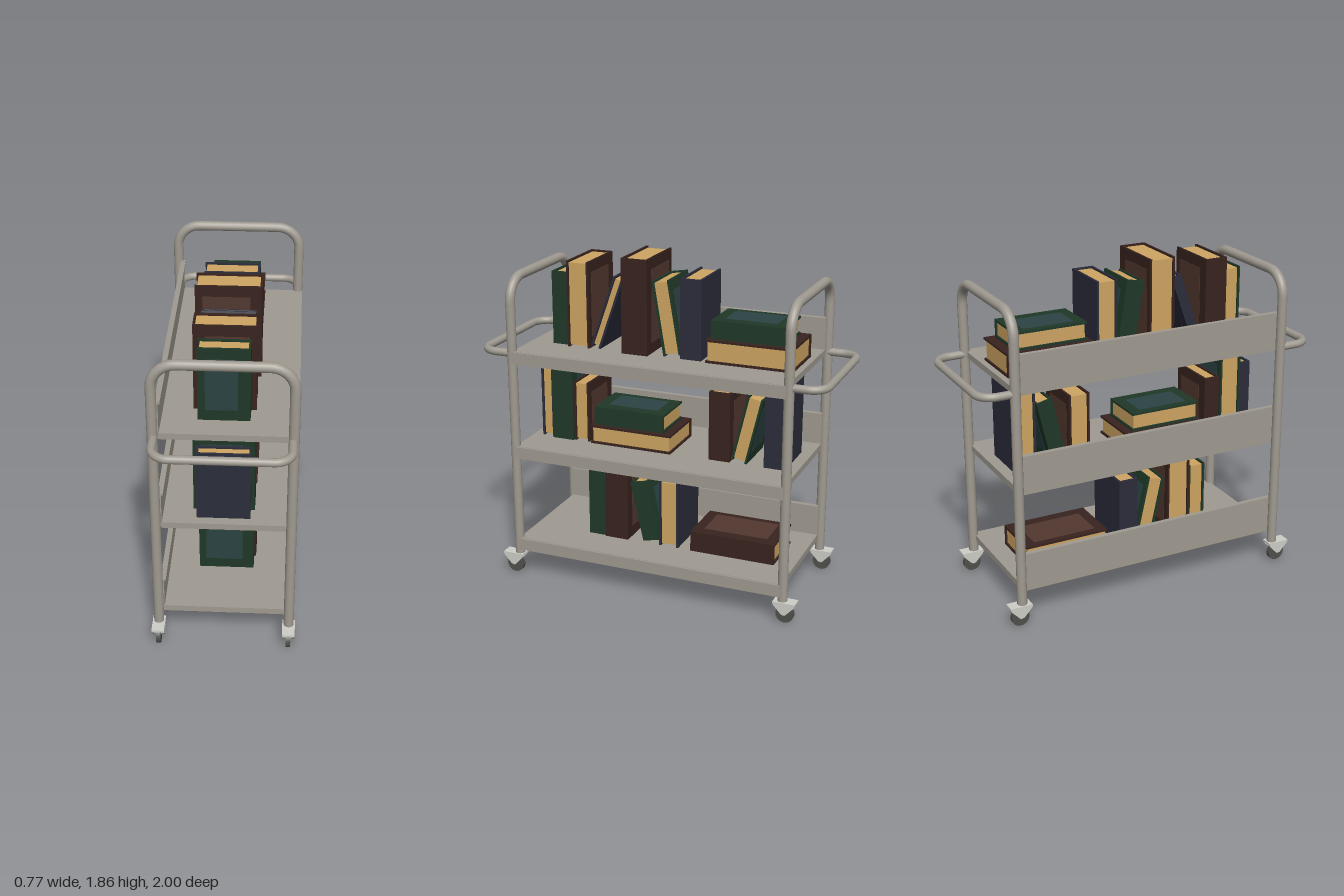
import * as THREE from 'three';

const mat = (color) => new THREE.MeshStandardMaterial({ color });
const METAL = mat(0xa09b91), FORK = mat(0xcfcfc8), WHEEL = mat(0x50504c), PAGES = mat(0xcfa562);
const COVERS = {
  brown: [mat(0x38231e), mat(0x523830)],
  green: [mat(0x1f3828), mat(0x2c4343)],
  navy: [mat(0x2b2d3b), null],
};

function add(parent, name, geometry, material, x = 0, y = 0, z = 0) {
  const mesh = new THREE.Mesh(geometry, material);
  mesh.name = name;
  mesh.position.set(x, y, z);
  parent.add(mesh);
  return mesh;
}
const box = (parent, name, m, w, h, d, x, y, z) =>
  add(parent, name, new THREE.BoxGeometry(w, h, d), m, x, y, z);

// U-shaped pipe: two legs of the given span, rounded corners; u runs across, v along the legs
function bentPipe(half, v0, v1, corner, radius, place) {
  const p = (u, v) => place(u, v);
  const path = new THREE.CurvePath();
  const k = corner * 0.448; // control distance for a circular quarter bend
  path.add(new THREE.LineCurve3(p(-half, v0), p(-half, v1 - corner)));
  path.add(new THREE.CubicBezierCurve3(p(-half, v1 - corner), p(-half, v1 - k), p(-half + k, v1), p(-half + corner, v1)));
  path.add(new THREE.LineCurve3(p(-half + corner, v1), p(half - corner, v1)));
  path.add(new THREE.CubicBezierCurve3(p(half - corner, v1), p(half - k, v1), p(half, v1 - k), p(half, v1 - corner)));
  path.add(new THREE.LineCurve3(p(half, v1 - corner), p(half, v0)));
  return new THREE.TubeGeometry(path, 140, radius, 16);
}

// Caster: top plate, two triangular cheeks, wheel
function caster(x, z) {
  const g = new THREE.Group();
  g.name = 'caster';
  g.position.set(x, 0, z);
  box(g, 'casterPlate', FORK, 0.068, 0.012, 0.125, 0, 0.118, 0);
  box(g, 'casterStem', METAL, 0.05, 0.03, 0.05, 0, 0.105, 0);
  const cheek = new THREE.Shape([
    new THREE.Vector2(-0.062, 0.122), new THREE.Vector2(-0.058, 0.105), new THREE.Vector2(-0.012, 0.055),
    new THREE.Vector2(0.012, 0.055), new THREE.Vector2(0.058, 0.105), new THREE.Vector2(0.062, 0.122),
  ]);
  for (const s of [-1, 1]) {
    const geo = new THREE.ExtrudeGeometry(cheek, { depth: 0.012, bevelEnabled: false });
    geo.translate(0, 0, -0.006).rotateY(Math.PI / 2);
    add(g, 'casterCheek', geo, FORK, s * 0.028, 0, 0);
  }
  const round = (r, w) => new THREE.CylinderGeometry(r, r, w, 28).rotateZ(Math.PI / 2);
  add(g, 'wheel', round(0.05, 0.024), WHEEL, 0, 0.05, 0);
  add(g, 'axle', round(0.01, 0.06), METAL, 0, 0.058, 0);
  return g;
}

// Upright book standing on y = 0, centred on x and z; spine is the side (+1 or -1 in x) of the spine
function book(color, h, w, t, spine) {
  const g = new THREE.Group();
  g.name = 'book';
  const [cover, panel] = COVERS[color];
  const c = 0.012;
  for (const s of [-1, 1]) {
    box(g, 'bookCover', cover, w, h, c, 0, h / 2, s * (t - c) / 2);
    if (panel) box(g, 'coverPanel', panel, w - 0.1, h - 0.12, 0.004, -spine * 0.012, h / 2, s * t / 2);
  }
  box(g, 'bookSpine', cover, c, h, t, spine * (w - c) / 2, h / 2, 0);
  box(g, 'bookPages', PAGES, w - c - 0.01, h - 0.02, t - 2 * c, -spine * (c - 0.01) / 2 , h / 2, 0);
  return g;
}

// Upright books: colour, z from, z to, height, width, spine side
// Leaning books: colour, z of the resting edge, thickness, height, width, spine side, lean in degrees (+ leans to +z)
// Flat books: colour, z from, z to, base above shelf, thickness, width, spine side
const SHELVES = [
  {
    y: 0.22,
    upright: [['green', 0.435, 0.332, 0.395, 0.30, 1], ['brown', 0.33, 0.19, 0.485, 0.32, 1], ['navy', 0, -0.115, 0.39, 0.31, -1]],
    leaning: [['green', 0.105, 0.104, 0.355, 0.27, 1, 12.5]],
    flat: [['brown', -0.19, -0.68, 0, 0.118, 0.31, 1]],
  },
  {
    y: 0.78,
    upright: [['navy', 0.724, 0.65, 0.4, 0.28, -1], ['green', 0.648, 0.52, 0.465, 0.32, 1], ['brown', 0.518, 0.425, 0.345, 0.30, -1],
      ['brown', -0.29, -0.41, 0.39, 0.30, 1], ['navy', -0.605, -0.725, 0.485, 0.30, 1]],
    leaning: [['green', -0.505, 0.09, 0.38, 0.28, -1, -13.2]],
    flat: [['brown', 0.41, -0.07, 0, 0.107, 0.32, -1], ['green', 0.395, -0.02, 0.107, 0.103, 0.27, 1]],
  },
  {
    y: 1.33,
    upright: [['green', 0.643, 0.543, 0.41, 0.265, 1], ['brown', 0.54, 0.41, 0.48, 0.32, -1],
      ['brown', 0.21, 0.06, 0.525, 0.345, 1], ['navy', -0.12, -0.24, 0.44, 0.295, 1]],
    leaning: [['navy', 0.352, 0.058, 0.42, 0.28, -1, -19.5], ['green', -0.02, 0.102, 0.41, 0.27, -1, 9.6]],
    flat: [['brown', -0.27, -0.755, 0, 0.128, 0.32, -1], ['green', -0.29, -0.70, 0.128, 0.1, 0.27, 1]],
  },
];

export function createModel() {
  const cart = new THREE.Group();
  cart.name = 'bookCart';

  // End frames, push handles and casters
  for (const s of [-1, 1]) {
    const z = s * 0.79 - 0.006;
    add(cart, 'endFrame', bentPipe(0.35, 0.11, 1.728, 0.125, 0.027,
      (u, v) => new THREE.Vector3(u, v, z)), METAL);
    add(cart, 'pushHandle', bentPipe(0.345, 0.79, 0.977, 0.09, 0.022,
      (u, v) => new THREE.Vector3(u, 1.314, s * v)), METAL);
    for (const x of [-0.35, 0.35]) cart.add(caster(x, s * 0.812));
  }

  for (const { y, upright, leaning, flat } of SHELVES) {
    // Tray with a hanging lip on one side and a tall guard panel on the other
    const shelf = new THREE.Group();
    shelf.name = 'shelf';
    shelf.position.y = y;
    cart.add(shelf);
    box(shelf, 'shelfBoard', METAL, 0.7, 0.035, 1.565, 0.015, -0.0175, -0.006);
    box(shelf, 'shelfLip', METAL, 0.015, 0.068, 1.565, 0.368, -0.036, -0.006);
    box(shelf, 'guardPanel', METAL, 0.018, 0.215, 1.565, -0.327, 0.0725, -0.006);
    box(shelf, 'guardRim', METAL, 0.026, 0.012, 1.565, -0.321, 0.174, -0.006);

    for (const [color, z0, z1, h, w, spine] of upright) {
      const b = book(color, h, w, z0 - z1, spine);
      b.position.set(-0.003, 0, (z0 + z1) / 2);
      shelf.add(b);
    }
    for (const [color, z, t, h, w, spine, lean] of leaning) {
      const pivot = new THREE.Group();
      pivot.name = 'leaningBook';
      const b = book(color, h, w, t, spine);
      b.position.z = -Math.sign(lean) * t / 2;
      pivot.add(b);
      pivot.position.z = z;
      pivot.rotation.x = THREE.MathUtils.degToRad(lean);
      shelf.add(pivot);
    }
    for (const [color, z0, z1, base, t, w, spine] of flat) {
      const b = book(color, z0 - z1, w, t, spine);
      b.rotation.x = Math.PI / 2;
      b.position.set(0, base + t / 2, z1);
      shelf.add(b);
    }
  }
  return cart;
}
